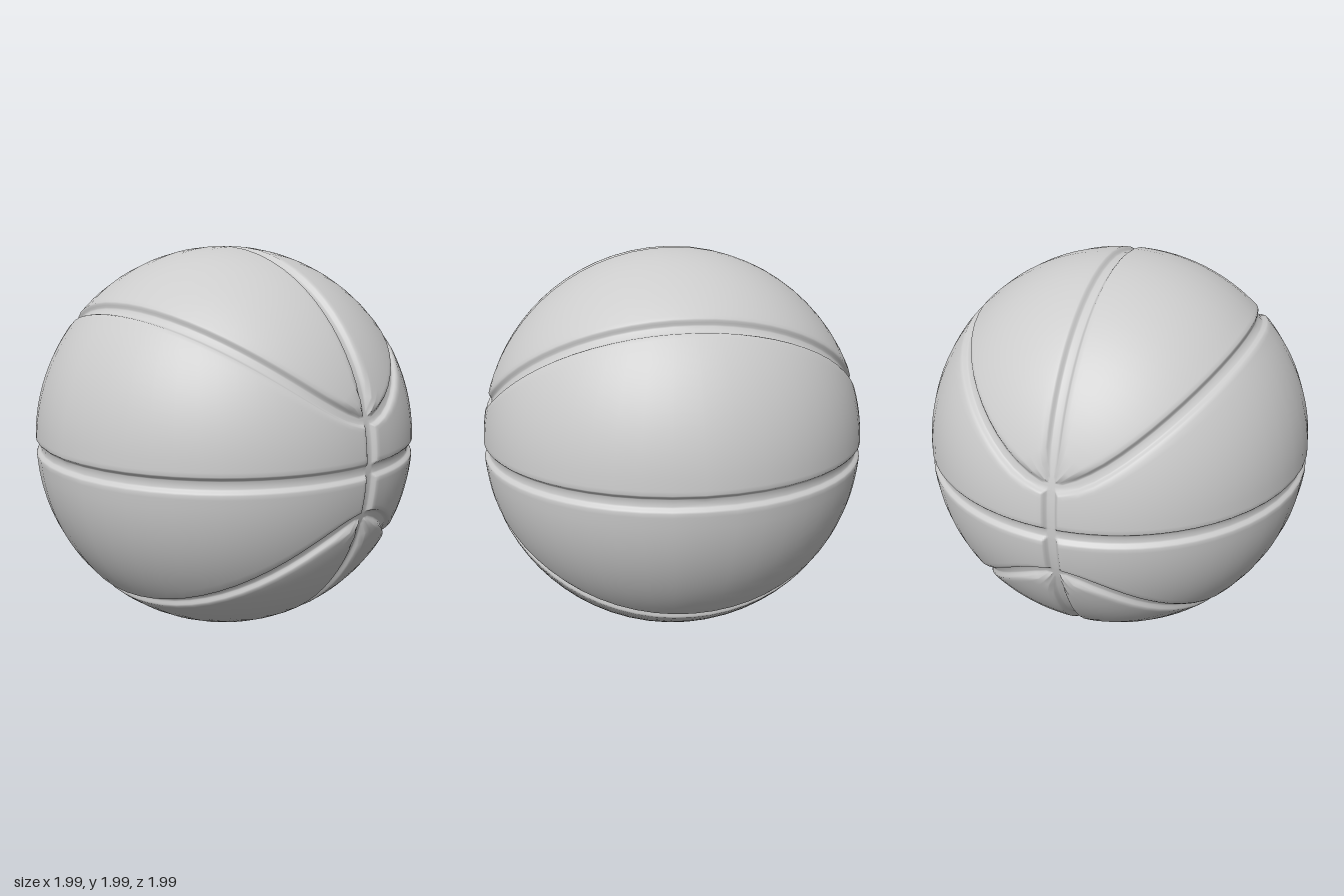
import * as THREE from 'three';
import { mergeVertices } from 'three/addons/utils/BufferGeometryUtils.js';

const RADIUS = 0.998, DEPTH = 0.024;
const HALF = Math.PI / 2;

// The curved seam is where y² = K z² + B on the unit sphere.
const B = 0.0529, K = 1 - 2 * B;
const TIP = Math.asin(Math.sqrt(1 - B)); // angle from the top to where the curved seam meets z = 0

// Distance from a seam edge of the closely spaced rows that shape the groove
const INSETS = [0, 0.016, 0.022, 0.028, 0.034, 0.041, 0.06];

// Seams of one octant: t runs from the side (0) to the middle of the ball (HALF)
const ease = (t, end) => t * (Math.SQRT1_2 + (end / HALF - Math.SQRT1_2) * (t / HALF) ** 2);
const curvedSeam = (t) => new THREE.Vector3(
  Math.sqrt(1 - B) * Math.cos(t),
  Math.sqrt(B + (0.5 - B) * Math.sin(t) ** 2),
  Math.SQRT1_2 * Math.sin(t));
const equatorSeam = (t) => {
  const a = ease(t, HALF);
  return new THREE.Vector3(Math.cos(a), 0, Math.sin(a));
};
const uprightSeam = (t) => {
  const a = TIP - ease(t, TIP);
  return new THREE.Vector3(Math.sin(a), Math.cos(a), 0);
};

// Positions along a line of given length, dense at both grooved ends
function rowPositions(length, inner = 11) {
  const scale = Math.min(1, length / 0.2);
  const insets = INSETS.map((d) => d * scale);
  const last = insets[insets.length - 1];
  const rows = [...insets];
  for (let i = 1; i <= inner; i++) rows.push(last + (length - 2 * last) * i / (inner + 1));
  return rows.concat(insets.map((d) => length - d).reverse());
}

// Columns, dense only at the side of the ball
function columnAngles(inner = 16) {
  const cols = INSETS.map((d) => Math.asin(d / Math.SQRT1_2));
  const last = cols[cols.length - 1];
  for (let i = 1; i <= inner; i++) cols.push(last + (HALF - last) * i / inner);
  return cols;
}

// Push a unit-sphere point in where it lies near a seam
function sculpt(p) {
  const f = p.y * p.y - K * p.z * p.z - B;
  const radial = 2 * (p.y * p.y - K * p.z * p.z);
  const slope2 = 4 * (p.y * p.y + K * K * p.z * p.z) - radial * radial;
  const toCurve = Math.abs(f) / Math.sqrt(Math.max(slope2, 1e-4));
  const d = Math.min(Math.abs(p.y), Math.abs(p.z), toCurve);
  const groove = 1 - THREE.MathUtils.smoothstep(d, 0.014, 0.042);
  return p.multiplyScalar(RADIUS - DEPTH * groove);
}

// Great-circle step from a towards b
function along(a, b, angle, dist) {
  if (angle < 1e-6) return a.clone();
  const s = Math.sin(angle);
  return a.clone().multiplyScalar(Math.sin(angle - dist) / s)
    .addScaledVector(b, Math.sin(dist) / s).normalize();
}

// Grid of points between a lower and an upper seam
function panelGrid(lower, upper) {
  return columnAngles().map((t) => {
    const a = lower(t), b = upper(t), angle = a.angleTo(b);
    return rowPositions(angle).map((d) => sculpt(along(a, b, angle, d)));
  });
}

export function createModel() {
  const group = new THREE.Group();
  group.name = 'ball';

  const panels = [
    { grid: panelGrid(equatorSeam, curvedSeam), pointed: false },
    { grid: panelGrid(curvedSeam, uprightSeam), pointed: true },
  ];
  const positions = [], index = [];

  // Mirror both panels into all eight octants
  for (const sx of [1, -1]) for (const sy of [1, -1]) for (const sz of [1, -1]) {
    const flip = sx * sy * sz < 0;
    const tri = (a, b, c) => (flip ? index.push(a, c, b) : index.push(a, b, c));
    for (const { grid, pointed } of panels) {
      const base = positions.length / 3, n = grid[0].length;
      for (const p of grid.flat()) positions.push(p.x * sx, p.y * sy + 1, p.z * sz);
      for (let i = 0; i < grid.length - 1; i++) for (let j = 0; j < n - 1; j++) {
        const a = base + i * n + j, c = a + n;
        if (!(pointed && i === 0)) tri(a, a + 1, c);
        tri(a + 1, c + 1, c);
      }
    }
  }

  // Weld the octants so the shading is smooth across every seam
  let geometry = new THREE.BufferGeometry();
  geometry.setAttribute('position', new THREE.Float32BufferAttribute(positions, 3));
  geometry.setIndex(index);
  geometry = mergeVertices(geometry, 1e-4);
  geometry.computeVertexNormals();

  const skin = new THREE.Mesh(geometry, new THREE.MeshStandardMaterial({ color: 0xcccccc }));
  skin.name = 'groovedBallSkin';
  group.add(skin);
  return group;
}
